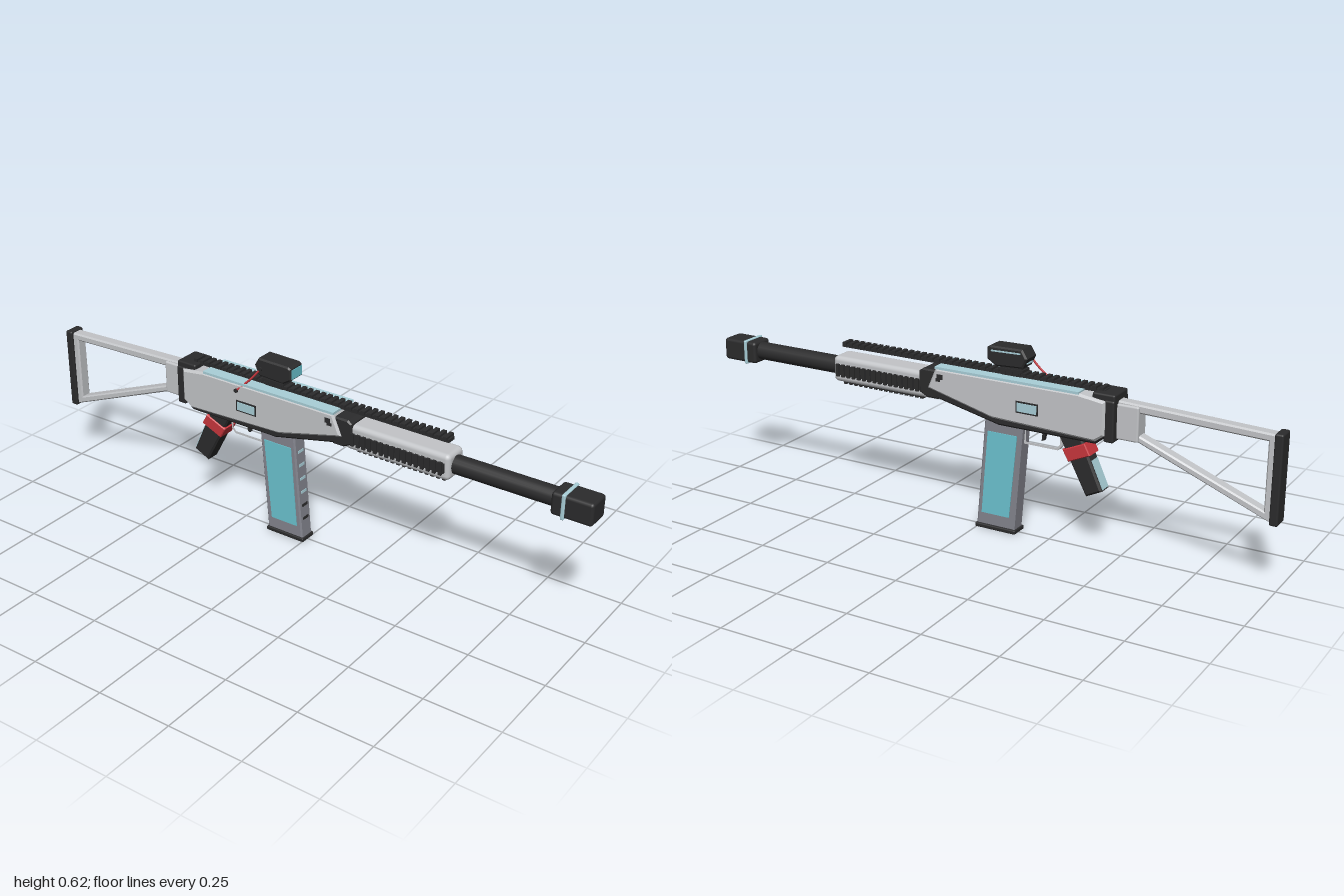
import * as THREE from 'three';
import { RoundedBoxGeometry } from 'three/addons/geometries/RoundedBoxGeometry.js';

const paint = (name, color) => Object.assign(new THREE.MeshStandardMaterial({ color }), { name });

export function createModel() {
  const model = new THREE.Group();
  model.name = 'toyRifle';
  const light = paint('light grey', 0xc3c5c8);
  const dark = paint('charcoal', 0x2b2b2c);
  const grey = paint('mid grey', 0x84858e);
  const cyan = paint('cyan', 0x6cc4d1);
  const pale = paint('pale blue', 0xa9cfd8);
  const red = paint('red', 0xc8363d);

  const add = (name, geo, mat, x = 0, y = 0, z = 0, parent = model) => {
    const m = new THREE.Mesh(geo, mat);
    m.name = name;
    m.position.set(x, y, z);
    parent.add(m);
    return m;
  };
  // Box given by its limits in y and z, centred on x
  const box = (name, mat, w, y0, y1, z0, z1, x = 0, parent = model) =>
    add(name, new THREE.BoxGeometry(w, y1 - y0, Math.abs(z1 - z0)), mat, x, (y0 + y1) / 2, (z0 + z1) / 2, parent);
  const soft = (name, mat, w, y0, y1, z0, z1, r) =>
    add(name, new RoundedBoxGeometry(w, y1 - y0, Math.abs(z1 - z0), 2, r), mat, 0, (y0 + y1) / 2, (z0 + z1) / 2);
  // Side profile of [z, y] points, extruded across x with an optional chamfer
  const side = (name, mat, pts, w, bevel = 0, x = 0, hole = null) => {
    const v = (list) => list.map(([z, y]) => new THREE.Vector2(z, y));
    const shape = new THREE.Shape(v(pts));
    if (hole) shape.holes.push(new THREE.Path(v(hole)));
    const depth = w - 2 * bevel;
    const geo = new THREE.ExtrudeGeometry(shape, {
      depth, bevelEnabled: bevel > 0, bevelSize: bevel, bevelThickness: bevel, bevelOffset: -bevel, bevelSegments: 1,
    });
    geo.translate(0, 0, -depth / 2).rotateY(-Math.PI / 2);
    return add(name, geo, mat, x);
  };
  // Toothed rail: a flat strip with evenly spaced cross ribs
  const rail = (name, length, count, width, height) => {
    const g = new THREE.Group();
    g.name = name;
    add('railStrip', new THREE.BoxGeometry(width * 0.75, height * 0.6, length), dark, 0, height * 0.3, 0, g);
    const pitch = length / count;
    for (let i = 0; i < count; i++)
      add('railTooth', new THREE.BoxGeometry(width, height * 0.6, pitch * 0.55), dark, 0, height * 0.7, (i + 0.5) * pitch - length / 2, g);
    model.add(g);
    return g;
  };

  // Muzzle and barrel
  soft('muzzleBlock', dark, 0.082, 0.413, 0.487, 0.868, 1.0, 0.01);
  soft('muzzleBand', pale, 0.09, 0.409, 0.491, 0.902, 0.914, 0.004);
  const barrel = add('barrel', new THREE.CylinderGeometry(0.03, 0.03, 0.42, 20), dark, 0, 0.452, 0.69);
  barrel.rotation.x = Math.PI / 2;

  // Handguard with side and bottom rails
  soft('handguard', light, 0.088, 0.408, 0.495, 0.17, 0.54, 0.016);
  const bottomRail = rail('bottomRail', 0.32, 16, 0.04, 0.014);
  bottomRail.position.set(0, 0.41, 0.36);
  bottomRail.rotation.z = Math.PI;
  for (const s of [-1, 1]) {
    const r = rail('sideRail', 0.33, 16, 0.042, 0.013);
    r.position.set(s * 0.043, 0.452, 0.36);
    r.rotation.z = -s * Math.PI / 2;
  }
  side('frontCollar', dark, [[0.2, 0.5], [0.2, 0.43], [0.17, 0.415], [0.13, 0.415], [0.13, 0.51], [0.185, 0.51]], 0.1, 0.005);

  // Receiver: dark underbody, light shell, pale top
  side('underbody', dark, [[0.165, 0.48], [0.165, 0.425], [-0.09, 0.368], [-0.425, 0.368], [-0.465, 0.4], [-0.465, 0.49]], 0.1, 0.006);
  side('receiver', light, [[0.135, 0.52], [0.165, 0.45], [-0.07, 0.39], [-0.425, 0.378], [-0.457, 0.4],
    [-0.457, 0.508], [-0.37, 0.52]], 0.115, 0.007);
  box('receiverTop', pale, 0.112, 0.517, 0.525, -0.37, 0.137);
  for (const s of [-1, 1]) {
    box('portFrame', dark, 0.004, 0.425, 0.463, -0.235, -0.157, s * 0.0575);
    box('portWindow', pale, 0.004, 0.43, 0.458, -0.23, -0.162, s * 0.0592);
    box('receiverMark', dark, 0.004, 0.486, 0.502, 0.107, 0.127, s * 0.0575);
    box('receiverMark', dark, 0.004, 0.478, 0.488, 0.115, 0.132, s * 0.0575);
  }
  const topRail = rail('topRail', 0.96, 40, 0.042, 0.018);
  topRail.position.set(0, 0.522, 0.04);

  // Rear collar and skeleton stock
  soft('rearCollar', dark, 0.1, 0.38, 0.512, -0.485, -0.452, 0.006);
  soft('rearCollarCap', dark, 0.092, 0.49, 0.53, -0.485, -0.41, 0.006);
  soft('stockSocket', light, 0.056, 0.388, 0.5, -0.555, -0.48, 0.006);
  side('stockFrame', light, [[-0.48, 0.508], [-0.978, 0.49], [-0.978, 0.218], [-0.55, 0.387], [-0.48, 0.387]], 0.04, 0.005, 0,
    [[-0.55, 0.478], [-0.953, 0.466], [-0.953, 0.252], [-0.55, 0.41]]);
  soft('buttPad', dark, 0.058, 0.215, 0.496, -1.0, -0.973, 0.006);

  // Magazine with side panels, front marks and base
  side('magazine', grey, [[-0.032, 0.4], [0, 0.012], [-0.137, 0.012], [-0.168, 0.4]], 0.056, 0.005);
  for (const s of [-1, 1])
    side('magazinePanel', cyan, [[-0.042, 0.335], [-0.02, 0.055], [-0.12, 0.055], [-0.147, 0.335]], 0.004, 0, s * 0.0285);
  [0.318, 0.27, 0.222, 0.175, 0.127, 0.08].forEach((y, i) => {
    const m = add('magazineMark', new THREE.BoxGeometry(0.027, 0.009, 0.004), i < 4 ? pale : dark, 0, y, -0.0825 * (y - 0.012));
    m.rotation.x = -0.082;
  });
  soft('magazineBase', dark, 0.062, 0, 0.014, -0.142, 0.005, 0.004);

  // Trigger and guard
  side('triggerGuard', light, [[-0.16, 0.38], [-0.16, 0.308], [-0.28, 0.308], [-0.295, 0.325], [-0.295, 0.38]], 0.018, 0, 0,
    [[-0.168, 0.372], [-0.168, 0.316], [-0.277, 0.316], [-0.287, 0.328], [-0.287, 0.372]]);
  side('trigger', dark, [[-0.215, 0.375], [-0.224, 0.35], [-0.222, 0.328], [-0.23, 0.33], [-0.234, 0.352], [-0.232, 0.375]], 0.014);

  // Grip with red band and pale backstrap
  side('grip', dark, [[-0.285, 0.375], [-0.387, 0.182], [-0.441, 0.208], [-0.366, 0.375]], 0.056, 0.006);
  side('gripBand', red, [[-0.306, 0.323], [-0.327, 0.286], [-0.401, 0.319], [-0.381, 0.356]], 0.064, 0.003);
  side('gripBackstrap', pale, [[-0.398, 0.298], [-0.438, 0.21], [-0.443, 0.214], [-0.403, 0.302]], 0.036);

  // Sight on a stepped mount
  box('sightMount', dark, 0.036, 0.525, 0.545, -0.15, -0.08);
  box('sightMountStep', dark, 0.046, 0.54, 0.548, -0.16, -0.075);
  box('sightNeck', dark, 0.04, 0.545, 0.56, -0.155, -0.08);
  side('sightBody', dark, [[-0.04, 0.61], [-0.05, 0.616], [-0.163, 0.618], [-0.18, 0.59], [-0.165, 0.558],
    [-0.07, 0.553], [-0.04, 0.572]], 0.066, 0.005);
  box('sightLens', cyan, 0.052, 0.575, 0.606, -0.043, -0.038);
  side('sightStripe', pale, [[-0.055, 0.604], [-0.055, 0.599], [-0.158, 0.602], [-0.158, 0.607]], 0.004, 0, 0.0325);
  box('sightRearMark', pale, 0.036, 0.57, 0.574, -0.176, -0.17);

  // Red cable from the sight to a knob on the receiver
  const cablePath = new THREE.CatmullRomCurve3([
    new THREE.Vector3(-0.034, 0.583, -0.155), new THREE.Vector3(-0.043, 0.545, -0.185), new THREE.Vector3(-0.058, 0.498, -0.232),
  ]);
  add('cable', new THREE.TubeGeometry(cablePath, 10, 0.0035, 8), red);
  for (const [x, y, z] of [[-0.033, 0.584, -0.155], [-0.057, 0.496, -0.234]]) {
    const knob = add('cableKnob', new THREE.CylinderGeometry(0.007, 0.007, 0.012, 10), dark, x, y, z);
    knob.rotation.z = Math.PI / 2;
  }
  return model;
}
